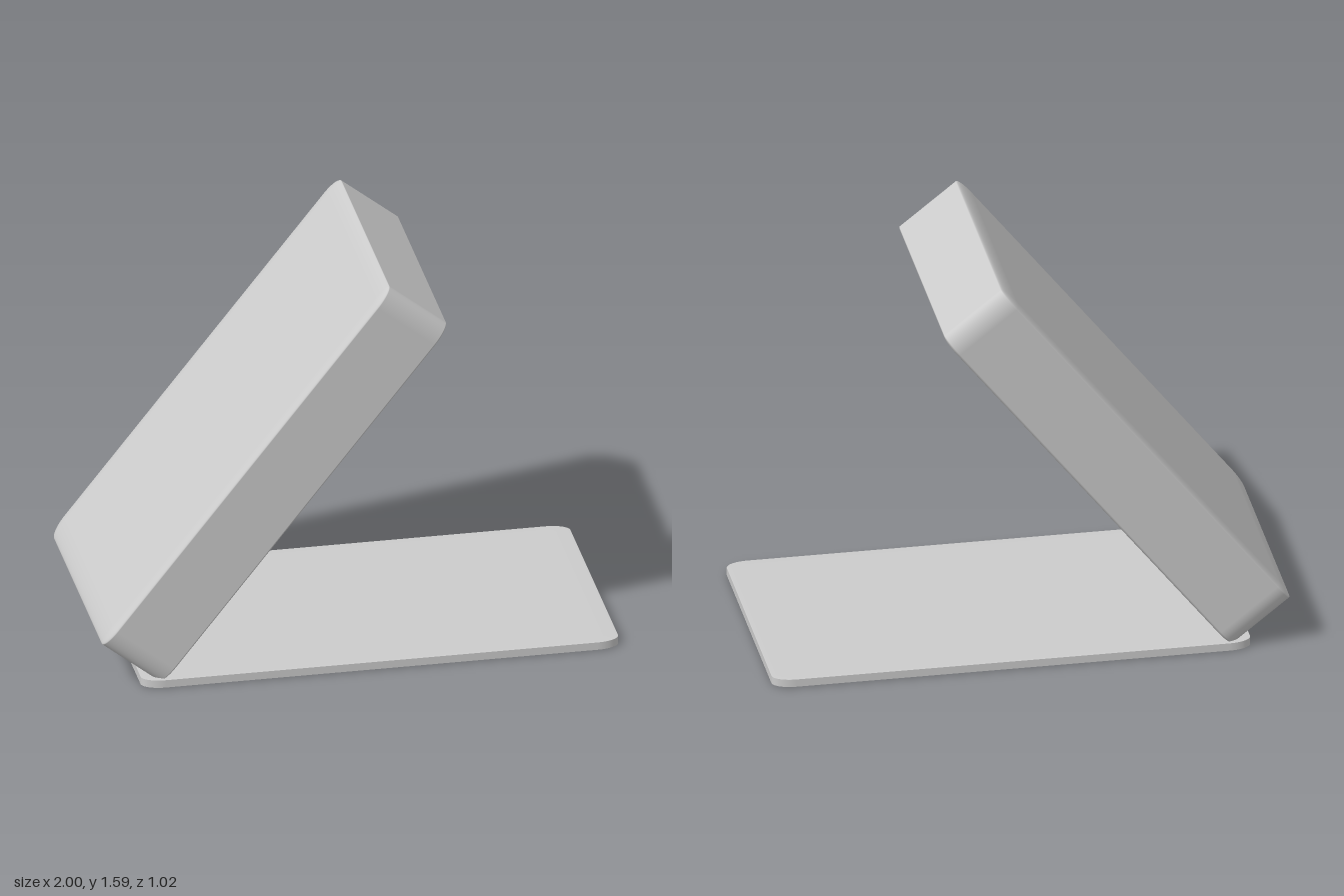
import * as THREE from 'three';
import { RoundedBoxGeometry } from 'three/addons/geometries/RoundedBoxGeometry.js';

// Rounded unit cube stretched to size, so the rounding stretches along with each side
function roundedSlab(name, material, size, position, tilt = 0) {
  const mesh = new THREE.Mesh(new RoundedBoxGeometry(1, 1, 1, 8, 0.048), material);
  mesh.name = name;
  mesh.scale.set(...size);
  mesh.position.set(...position);
  mesh.rotation.z = THREE.MathUtils.degToRad(tilt);
  return mesh;
}

export function createModel() {
  const group = new THREE.Group();
  group.name = 'openCase';
  const grey = new THREE.MeshStandardMaterial({ color: 0xcccccc });

  // thin plate lying flat
  group.add(roundedSlab('basePlate', grey, [1.85, 0.034, 1.025], [0.075, 0.017, 0]));

  // thick body tilted up from the plate's end
  group.add(roundedSlab('tiltedBody', grey, [1.794, 0.306, 1.025], [-0.334, 0.803, 0], 51.6));

  return group;
}
